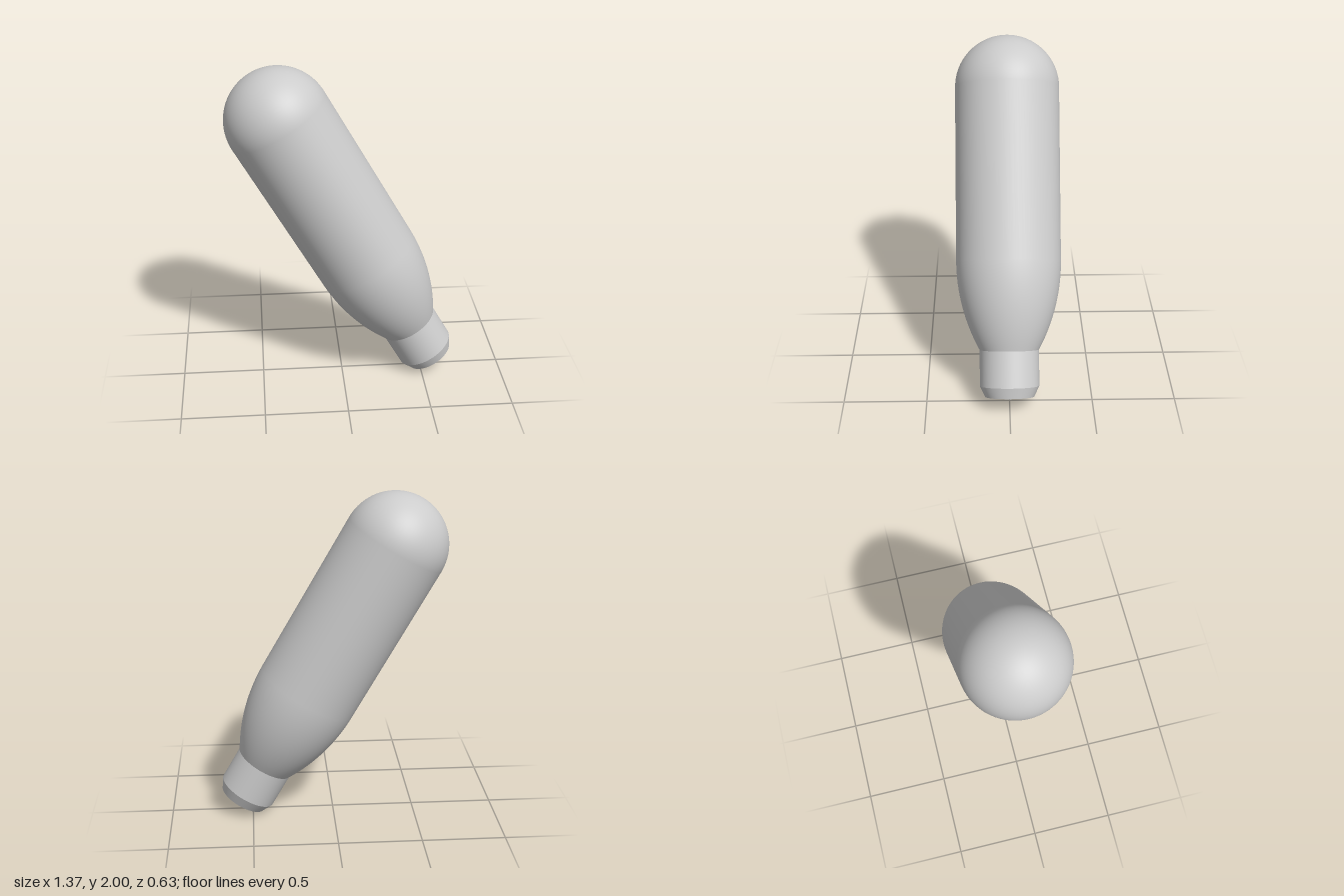
import * as THREE from 'three';

const BODY_R = 0.315, NECK_R = 0.178, FACE_R = 0.147, HOLE_R = 0.036;
const CHAMFER = 0.064, SHOULDER = 0.279, STRAIGHT = 0.815, DOME = 1.86; // heights along the axis

export function createModel() {
  const model = new THREE.Group();
  const bottle = new THREE.Group();
  bottle.name = 'capsule';
  const material = new THREE.MeshStandardMaterial({ color: 0xcccccc });

  // Each turned section is its own lathe, so the edges between them stay sharp
  const turn = (name, points) => {
    const profile = points.map(([r, y]) => new THREE.Vector2(r, y));
    const mesh = new THREE.Mesh(new THREE.LatheGeometry(profile, 64), material);
    mesh.name = name;
    bottle.add(mesh);
  };

  // Small blind hole in the end of the neck
  turn('holeFloor', [[0, 0.1], [HOLE_R, 0.1]]);
  turn('holeWall', [[HOLE_R, 0.1], [HOLE_R, 0]]);

  // Neck with a chamfered end
  turn('neckEnd', [[HOLE_R, 0], [FACE_R, 0]]);
  turn('neckChamfer', [[FACE_R, 0], [NECK_R, CHAMFER]]);
  turn('neck', [[NECK_R, CHAMFER], [NECK_R, SHOULDER]]);

  // Body: arc shoulder tangent to the straight wall, then a hemispherical dome
  const body = [];
  const run = STRAIGHT - SHOULDER, drop = BODY_R - NECK_R;
  const arcR = (run * run + drop * drop) / (2 * drop);
  const sweep = Math.asin(run / arcR);
  for (let i = 0; i <= 16; i++) {
    const a = sweep * (1 - i / 16);
    body.push([BODY_R - arcR * (1 - Math.cos(a)), STRAIGHT - arcR * Math.sin(a)]);
  }
  for (let i = 0; i <= 24; i++) {
    const a = (i / 24) * Math.PI / 2;
    body.push([i === 24 ? 0 : BODY_R * Math.cos(a), DOME + BODY_R * Math.sin(a)]);
  }
  turn('body', body);

  // Lean the whole piece sideways
  bottle.rotation.z = Math.PI / 6;
  bottle.position.set(0.561, FACE_R / 2, 0);
  model.add(bottle);
  return model;
}
